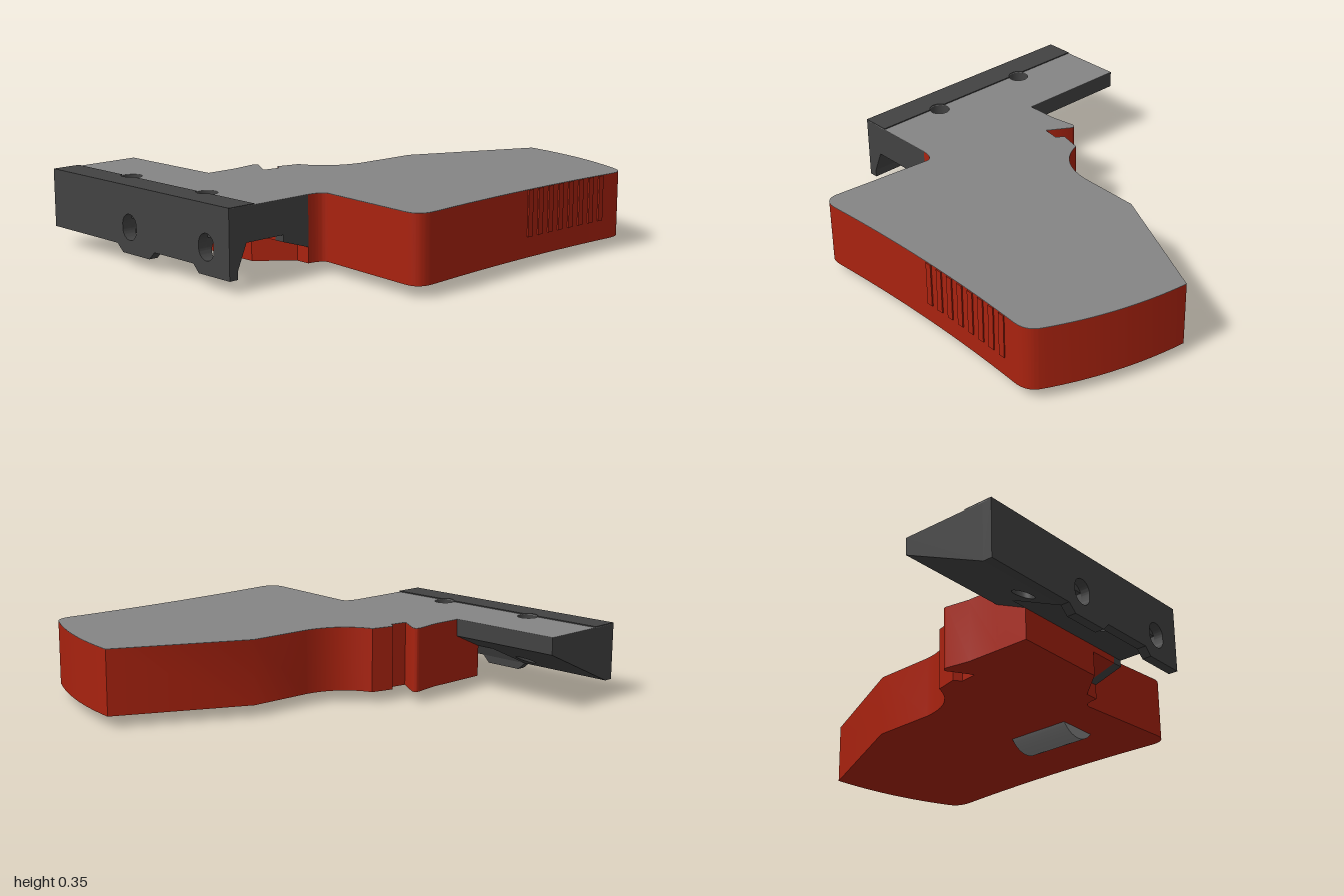
import * as THREE from 'three';
import { toCreasedNormals } from 'three/addons/utils/BufferGeometryUtils.js';

const mat = (color) => new THREE.MeshStandardMaterial({ color, side: THREE.DoubleSide, roughness: 0.8 });
const TOP = 0.343, HOLE_X = [-0.545, -0.025], HOLE_Z = 0.845, HOLE_R = 0.047, SLOT_X = [-0.36, 0.155];

const poly = (pts) => new THREE.Shape(pts.map(([x, z]) => new THREE.Vector2(x, -z)));
const rect = (x0, x1, z0, z1) => poly([[x0, z0], [x0, z1], [x1, z1], [x1, z0]]);

function drill(shape, x) {
  const hole = new THREE.Path();
  hole.absarc(x, -HOLE_Z, HOLE_R, 0, Math.PI * 2, true);
  shape.holes.push(hole);
  return shape;
}

// Upright prism over a plan shape; the underside may follow a slope in z
function prism(shape, bottom, top) {
  const g = new THREE.ExtrudeGeometry(shape, { depth: 1, bevelEnabled: false, curveSegments: 20 });
  g.rotateX(-Math.PI / 2);
  const p = g.attributes.position;
  for (let i = 0; i < p.count; i++) {
    const low = typeof bottom === 'function' ? bottom(p.getZ(i)) : bottom;
    p.setY(i, p.getY(i) > 0.5 ? top : low);
  }
  return toCreasedNormals(g, 0.5);
}

// Plan outline of the grip; with the wing it also covers the mount
function planOutline(withMount) {
  const s = new THREE.Shape();
  const L = (x, z) => s.lineTo(x, -z);
  const Q = (cx, cz, x, z) => s.quadraticCurveTo(cx, -cz, x, -z);
  s.moveTo(0.23, 1);
  L(-0.055, -0.42);
  L(-0.065, -0.12);
  Q(-0.085, 0.065, -0.245, 0.12);
  L(-0.272, 0.225);
  L(-0.238, 0.25);
  L(-0.25, 0.33);
  L(-0.36, 0.263);
  Q(-0.385, 0.26, -0.382, 0.29);
  L(-0.365, 0.4);
  if (withMount) {
    L(-0.365, 0.555);
    L(-0.92, 0.555);
    L(-0.92, 0.98);
    L(0.3, 0.98);
  } else {
    L(-0.365, 0.57);
    L(0.3, 0.57);
  }
  L(0.3, 0.57);
  Q(0.305, 0.49, 0.35, 0.496);
  L(0.82, 0.535);
  Q(0.9, 0.54, 0.896, 0.45);
  Q(0.86, -0.15, 0.908, -0.71);
  Q(0.915, -0.785, 0.86, -0.815);
  Q(0.57, -0.965, 0.23, -1);
  return s;
}

export function createModel() {
  const model = new THREE.Group();
  const red = mat(0xa8220f), dark = mat(0x424242), grey = mat(0x858585);
  const add = (name, geometry, material) => {
    const m = new THREE.Mesh(geometry, material);
    m.name = name;
    model.add(m);
    return m;
  };

  // Grip body
  add('gripBody', prism(planOutline(false), 0.05, TOP), red);

  // Neck between grip and mount, undercut along its side
  const undercut = (z) => 0.11 + (z - 0.54) * 0.32;
  add('neck', prism(rect(-0.365, 0.25, 0.56, 0.71), undercut, TOP), red);
  add('neckCheek', prism(rect(0.25, 0.3, 0.56, 0.71), undercut, TOP), dark);
  add('lowerJaw', prism(poly([[-0.365, 0.55], [-0.365, 0.71], [0.1, 0.71], [0.25, 0.55]]), 0.05, 0.17), red);

  // Thumb ribs on the outer edge
  for (let i = 0; i < 8; i++) {
    const z = -0.17 - i * 0.067;
    const u = (0.45 - z) / 1.16;
    const x = (1 - u) ** 2 * 0.896 + 2 * u * (1 - u) * 0.86 + u * u * 0.908;
    const rib = add('thumbRib', new THREE.BoxGeometry(0.02, 0.203, 0.03), red);
    rib.position.set(x - 0.004, 0.2415, z);
  }

  // Cover sheet with the screw holes
  const cover = planOutline(true);
  HOLE_X.forEach((x) => drill(cover, x));
  add('topCover', prism(cover, TOP, 0.345), grey);

  // Mount: sloped wing, its inner strip and the slab above the channel
  const wingSlope = (z) => 0.085 + (0.957 - z) * 0.45;
  add('mountWing', prism(drill(rect(-0.92, -0.45, 0.555, 0.957), HOLE_X[0]), wingSlope, TOP), dark);
  add('wingStrip', prism(rect(-0.45, -0.365, 0.555, 0.71), wingSlope, TOP), dark);
  add('channelSlab', prism(drill(rect(-0.45, 0.3, 0.71, 0.957), HOLE_X[1]), 0.195, TOP), dark);

  // Front lip with stepped lower edge and two slots
  const lip = new THREE.Shape([
    [-0.92, 0.085], [-0.45, 0.085], [-0.41, 0.05], [-0.225, 0.05], [-0.19, 0.085],
    [0.07, 0.085], [0.105, 0.05], [0.3, 0.05], [0.3, 0.35], [-0.92, 0.35],
  ].map(([x, y]) => new THREE.Vector2(x, y)));
  for (const x of SLOT_X) {
    const slot = new THREE.Path();
    slot.absarc(x, 0.177, 0.048, 0, Math.PI, false);
    slot.absarc(x, 0.158, 0.048, Math.PI, Math.PI * 2, false);
    slot.closePath();
    lip.holes.push(slot);
  }
  const lipGeo = new THREE.ExtrudeGeometry(lip, { depth: 0.043, bevelEnabled: false, curveSegments: 16 });
  lipGeo.translate(0, 0, 0.957);
  add('frontLip', toCreasedNormals(lipGeo, 0.5), dark);

  // Slanted fillet behind the lip, notched around the slots
  const web = new THREE.Shape();
  web.moveTo(-0.45, 0.195);
  web.lineTo(-0.45, 0.085);
  web.lineTo(0.3, 0.085);
  web.lineTo(0.3, 0.195);
  for (const x of [...SLOT_X].reverse()) {
    web.lineTo(x + 0.048, 0.195);
    web.absarc(x, 0.158, 0.048, 0, -Math.PI, true);
    web.lineTo(x - 0.048, 0.195);
  }
  const webGeo = new THREE.ExtrudeGeometry(web, { depth: 1, bevelEnabled: false, curveSegments: 16 });
  const p = webGeo.attributes.position;
  for (let i = 0; i < p.count; i++) {
    p.setZ(i, p.getZ(i) > 0.5 ? 0.958 : 0.957 - (p.getY(i) - 0.085) * 0.43);
  }
  add('lipFillet', toCreasedNormals(webGeo, 0.5), dark);

  // Raised strip along the front, cut around the screw holes
  const strip = new THREE.Shape();
  const a = Math.asin(0.02 / HOLE_R);
  strip.moveTo(-0.92, -0.958);
  strip.lineTo(0.3, -0.958);
  strip.lineTo(0.3, -0.865);
  for (const x of [...HOLE_X].reverse()) strip.absarc(x, -HOLE_Z, HOLE_R, -a, -Math.PI + a, true);
  strip.lineTo(-0.92, -0.865);
  add('frontStrip', prism(strip, TOP, 0.35), dark);

  // Rounded bump under the grip
  const bump = add('undersideBump', new THREE.CylinderGeometry(0.125, 0.125, 0.31, 48), grey);
  bump.rotation.x = Math.PI / 2;
  bump.position.set(0.5, 0.125, 0.155);

  return model;
}
